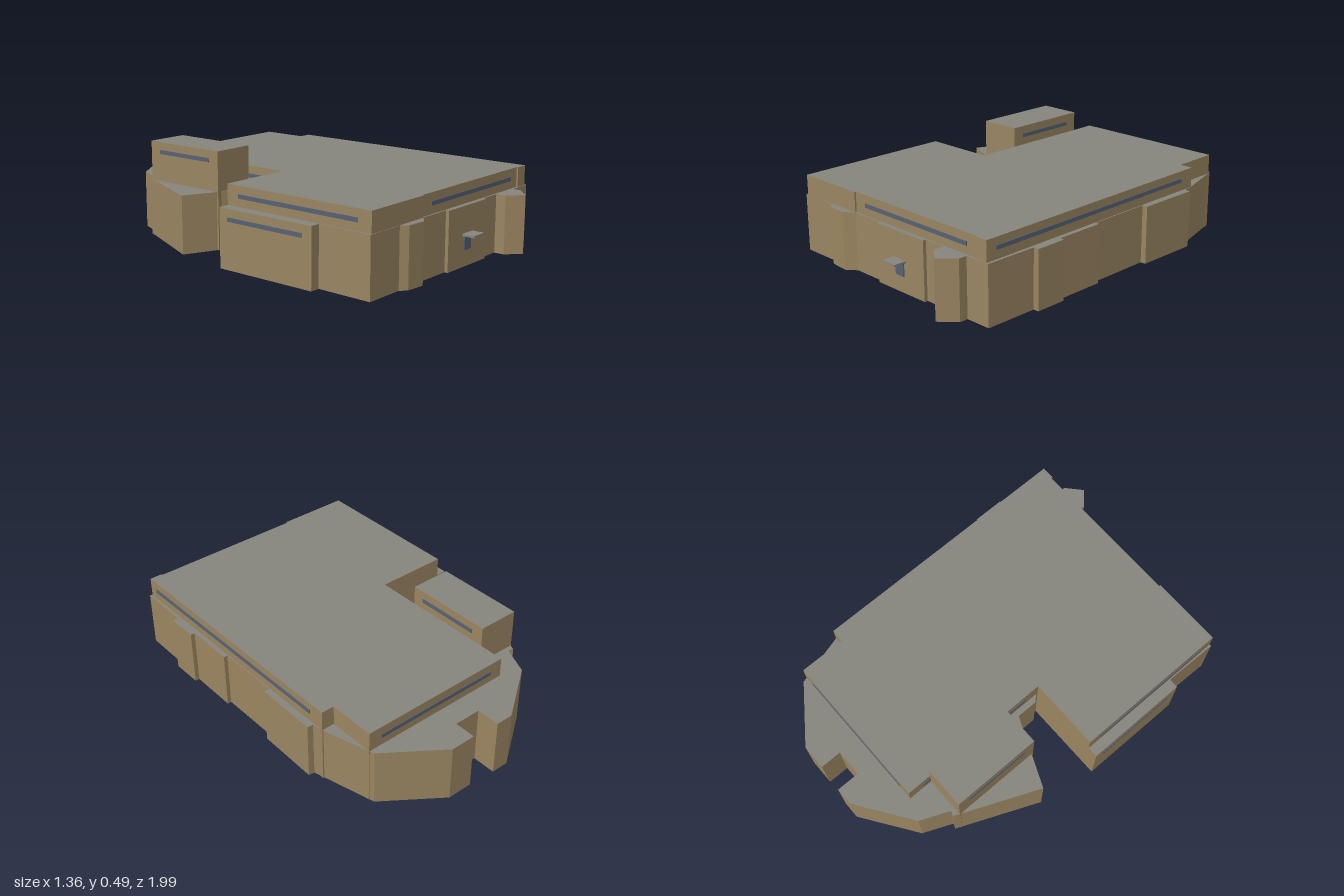
import * as THREE from 'three';

const wallMat = new THREE.MeshStandardMaterial({ color: 0x9a8561, side: THREE.DoubleSide });
wallMat.name = 'tan wall';
const roofMat = new THREE.MeshStandardMaterial({ color: 0x85857e, side: THREE.DoubleSide });
roofMat.name = 'grey roof';
const glassMat = new THREE.MeshStandardMaterial({ color: 0x566273 });
glassMat.name = 'blue grey glass';

// Open-bottomed volume: flat roof over a plan outline of [x, z] corners, plus its walls
function volume(name, plan, height) {
  const group = new THREE.Group();
  group.name = name;
  let pts = plan.map(([x, z]) => new THREE.Vector2(x, -z));
  if (THREE.ShapeUtils.isClockWise(pts)) pts = pts.reverse();

  const roof = new THREE.Mesh(new THREE.ShapeGeometry(new THREE.Shape(pts)), roofMat);
  roof.geometry.rotateX(-Math.PI / 2).translate(0, height, 0);
  roof.name = name + 'Roof';

  const pos = [];
  pts.forEach((a, i) => {
    const b = pts[(i + 1) % pts.length];
    pos.push(a.x, 0, -a.y, b.x, 0, -b.y, b.x, height, -b.y);
    pos.push(a.x, 0, -a.y, b.x, height, -b.y, a.x, height, -a.y);
  });
  const geo = new THREE.BufferGeometry();
  geo.setAttribute('position', new THREE.Float32BufferAttribute(pos, 3));
  geo.computeVertexNormals();
  const walls = new THREE.Mesh(geo, wallMat);
  walls.name = name + 'Walls';
  group.add(roof, walls);
  return group;
}

function box(name, mat, x0, x1, y0, y1, z0, z1) {
  const mesh = new THREE.Mesh(new THREE.BoxGeometry(x1 - x0, y1 - y0, z1 - z0), mat);
  mesh.position.set((x0 + x1) / 2, (y0 + y1) / 2, (z0 + z1) / 2);
  mesh.name = name;
  return mesh;
}

// Thin window strips, centred on the wall plane
const T = 0.004;
const stripX = (name, x, z0, z1, y) => box(name, glassMat, x - T, x + T, y - 0.01, y + 0.01, z0, z1);
const stripZ = (name, z, x0, x1, y) => box(name, glassMat, x0, x1, y - 0.01, y + 0.01, z - T, z + T);

export function createModel() {
  const model = new THREE.Group();
  model.name = 'building';
  const low = 0.29, high = 0.39;

  // Tall L-shaped main block
  model.add(volume('mainBlock', [
    [-0.625, 0.873], [-0.25, 0.873], [-0.25, 0.865], [0.565, 0.865], [0.565, 0.873], [0.632, 0.873],
    [0.632, -0.525], [0.565, -0.525], [0.565, -0.765], [-0.25, -0.765], [-0.25, 0.05], [-0.625, 0.05],
  ], high));

  // Rooftop tower beside the block
  model.add(volume('tower', [[-0.465, -0.635], [-0.25, -0.635], [-0.25, -0.17], [-0.465, -0.17]], 0.49));

  // Low faceted wing wrapping the back, with an entrance recess
  model.add(volume('backWing', [
    [-0.25, 0.04], [-0.28, 0.01], [-0.28, -0.1], [-0.63, -0.25], [-0.45, -0.665], [-0.425, -0.655],
    [-0.36, -0.805], [-0.08, -1], [0.01, -1], [0.01, -0.88], [0.15, -0.88], [0.15, -0.99],
    [0.28, -0.99], [0.555, -0.79], [0.64, -0.47], [0.67, -0.467], [0.665, -0.14], [0.632, -0.14],
    [0.632, -0.525], [0.565, -0.525], [0.565, -0.765], [-0.25, -0.765], [-0.25, -0.635],
    [-0.465, -0.635], [-0.465, -0.17], [-0.25, -0.17],
  ], low));

  // Low stepped bays along the left side
  model.add(volume('leftBays', [
    [0.632, -0.14], [0.637, -0.14], [0.637, 0.195], [0.657, 0.195], [0.655, 0.45], [0.677, 0.45],
    [0.677, 0.61], [0.648, 0.61], [0.645, 0.877], [0.632, 0.877],
  ], low));

  // Low bays along the right side
  model.add(volume('rightBays', [
    [-0.625, 0.05], [-0.68, 0.05], [-0.68, 0.595], [-0.63, 0.595], [-0.635, 0.873], [-0.625, 0.873],
  ], low));

  // Low bays along the front, with an angled bay, a flat entrance and a pointed bay
  model.add(volume('frontBays', [
    [-0.635, 0.865], [-0.635, 0.876], [-0.43, 0.876], [-0.4, 0.905], [-0.3, 0.912], [-0.25, 0.873],
    [-0.07, 0.873], [-0.07, 0.89], [0.25, 0.89], [0.25, 0.873], [0.365, 0.873], [0.365, 0.925],
    [0.437, 0.99], [0.515, 0.92], [0.515, 0.877], [0.645, 0.877], [0.645, 0.865],
  ], low));

  // Entrance door and canopy
  model.add(box('door', glassMat, 0.06, 0.115, 0.08, 0.15, 0.887, 0.895));
  model.add(box('canopy', roofMat, 0.045, 0.13, 0.15, 0.16, 0.885, 0.955));

  // Window strips
  model.add(stripZ('frontWindow', 0.865, -0.18, 0.505, 0.34));
  model.add(stripZ('backWindow', -0.765, -0.18, 0.495, 0.34));
  model.add(stripX('leftWindow', 0.632, -0.44, 0.82, 0.343));
  model.add(stripX('rightWindow', -0.625, 0.12, 0.8, 0.34));
  model.add(stripX('innerWindow', -0.25, -0.68, -0.03, 0.34));
  model.add(stripX('rightBayWindow', -0.68, 0.1, 0.54, 0.24));
  for (const x of [-0.465, -0.25]) model.add(stripX('towerWindow', x, -0.57, -0.23, 0.44));

  return model;
}
